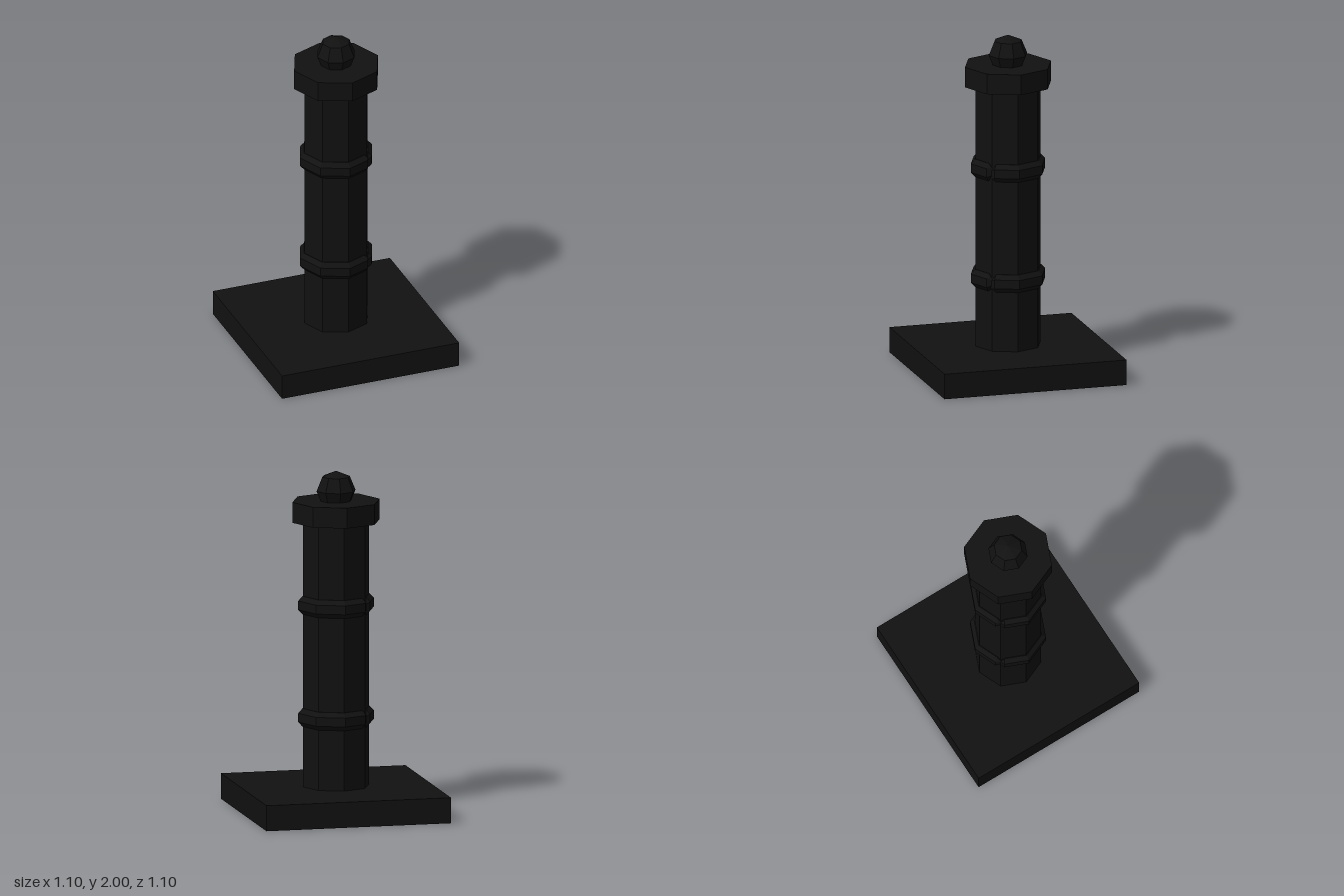
import * as THREE from 'three';

const material = new THREE.MeshStandardMaterial({ color: 0x111111, flatShading: true });

function part(name, geometry, y) {
  const mesh = new THREE.Mesh(geometry, material);
  mesh.name = name;
  mesh.position.y = y;
  return mesh;
}

// Eight-sided band lofted from a bevelled section, nicked at two opposite corners
function bandGeometry() {
  const section = [[0.225, -0.026], [0.225, 0.026], [0.2, 0.053], [0.165, 0.053], [0.165, -0.053], [0.2, -0.053]];
  const angles = [0, 38, 45, 52, 90, 135, 180, 218, 225, 232, 270, 315];
  const n = section.length;
  const positions = [];
  const index = [];
  angles.forEach((degrees, i) => {
    const a = THREE.MathUtils.degToRad(degrees);
    const flat = Math.cos(Math.PI / 8) / Math.cos(THREE.MathUtils.degToRad(degrees % 45 - 22.5));
    const nick = degrees % 180 === 45;
    section.forEach(([r, y], j) => {
      const radius = (nick ? Math.min(r, 0.203) : r) * flat;
      positions.push(radius * Math.sin(a), nick ? y * 0.6 : y, radius * Math.cos(a));
      const next = (i + 1) % angles.length;
      const k = (j + 1) % n;
      const p = i * n + j, q = next * n + j, s = next * n + k, t = i * n + k;
      index.push(p, q, s, p, s, t);
    });
  });
  const geometry = new THREE.BufferGeometry();
  geometry.setAttribute('position', new THREE.Float32BufferAttribute(positions, 3));
  geometry.setIndex(index);
  geometry.computeVertexNormals();
  return geometry;
}

export function createModel() {
  const group = new THREE.Group();
  group.name = 'post';

  // Square plinth and octagonal shaft
  group.add(part('base', new THREE.BoxGeometry(1.1, 0.15, 1.1), 0.075));
  group.add(part('shaft', new THREE.CylinderGeometry(0.196, 0.196, 1.56, 8), 0.93));

  // Two bands around the shaft
  const band = bandGeometry();
  group.add(part('lowerBand', band, 0.558));
  group.add(part('upperBand', band, 1.218));

  // Cap and faceted ball
  group.add(part('cap', new THREE.CylinderGeometry(0.26, 0.26, 0.12, 8), 1.765));
  group.add(part('finial', new THREE.SphereGeometry(0.116, 8, 4), 1.884));

  return group;
}
